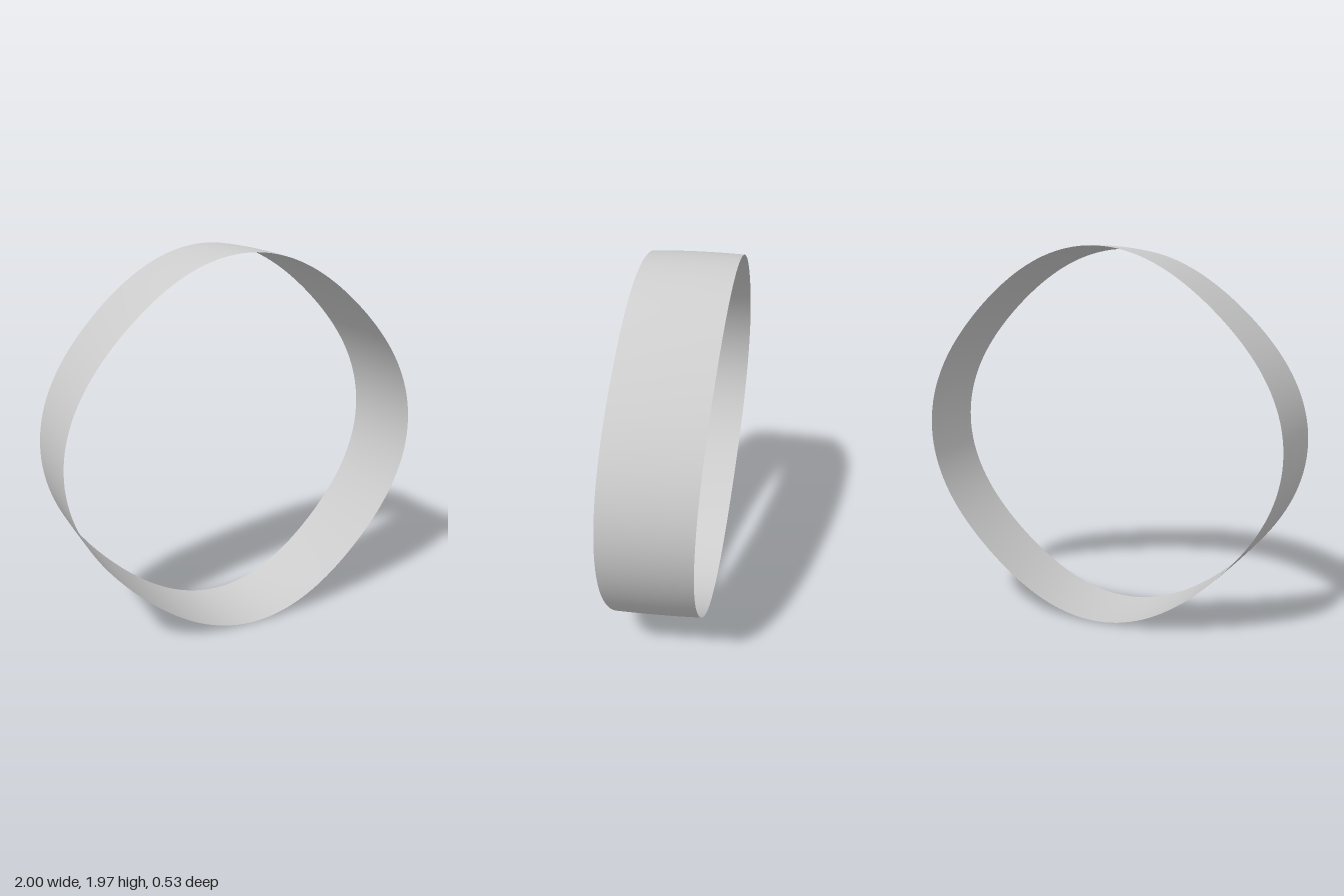
import * as THREE from 'three';

const AROUND = 160; // segments around the loop
const ACROSS = 8; // segments across the band

// Rounded, slightly four-cornered loop radius
const radius = (a) => 0.9635 + 0.009 * Math.cos(2 * a) + 0.0275 * Math.cos(4 * a);

// Point on the band: a = angle around, t = 0 at the back rim, 1 at the front rim
function bandPoint(a, t, target) {
  const r = radius(a);
  const bow = 4 * t * (1 - t);
  const x = r * Math.cos(a) * THREE.MathUtils.lerp(0.971, 1, t);
  const y = THREE.MathUtils.lerp(0.9925, 0.9875, t) + r * Math.sin(a) * (0.9955 + 0.006 * bow);
  // both rims lean backwards towards the top
  const k = y / 1.97;
  const back = THREE.MathUtils.lerp(-0.172, -0.264, k);
  const front = THREE.MathUtils.lerp(0.265, 0.195, k);
  return target.set(x, y, THREE.MathUtils.lerp(back, front, t));
}

export function createModel() {
  const group = new THREE.Group();
  group.name = 'bandRing';

  // Open cylinder reshaped into the leaning, gently tapered band
  const geometry = new THREE.CylinderGeometry(1, 1, 1, AROUND, ACROSS, true);
  const pos = geometry.attributes.position;
  const normal = geometry.attributes.normal;
  const uv = geometry.attributes.uv;
  const p = new THREE.Vector3();
  const du = new THREE.Vector3();
  const dv = new THREE.Vector3();
  const q = new THREE.Vector3();
  const e = 0.001;
  for (let i = 0; i < pos.count; i++) {
    const a = -uv.getX(i) * Math.PI * 2;
    const t = 1 - uv.getY(i);
    bandPoint(a, t, p);
    pos.setXYZ(i, p.x, p.y, p.z);
    // smooth outward normal from the surface tangents, seamless at the join
    du.copy(bandPoint(a + e, t, q)).sub(bandPoint(a - e, t, p));
    dv.copy(bandPoint(a, t + e, q)).sub(bandPoint(a, t - e, p));
    du.cross(dv).normalize();
    normal.setXYZ(i, du.x, du.y, du.z);
  }
  // keep the triangle winding facing outwards
  const idx = geometry.index;
  const A = new THREE.Vector3().fromBufferAttribute(pos, idx.getX(0));
  const B = new THREE.Vector3().fromBufferAttribute(pos, idx.getX(1));
  const C = new THREE.Vector3().fromBufferAttribute(pos, idx.getX(2));
  const face = B.sub(A).cross(C.sub(A));
  if (face.dot(new THREE.Vector3().fromBufferAttribute(normal, idx.getX(0))) < 0) {
    for (let i = 0; i < idx.count; i += 3) {
      const first = idx.getX(i);
      idx.setX(i, idx.getX(i + 2));
      idx.setX(i + 2, first);
    }
  }

  const material = new THREE.MeshStandardMaterial({ color: 0xcccccc, side: THREE.DoubleSide });
  const band = new THREE.Mesh(geometry, material);
  band.name = 'band';
  group.add(band);
  return group;
}
